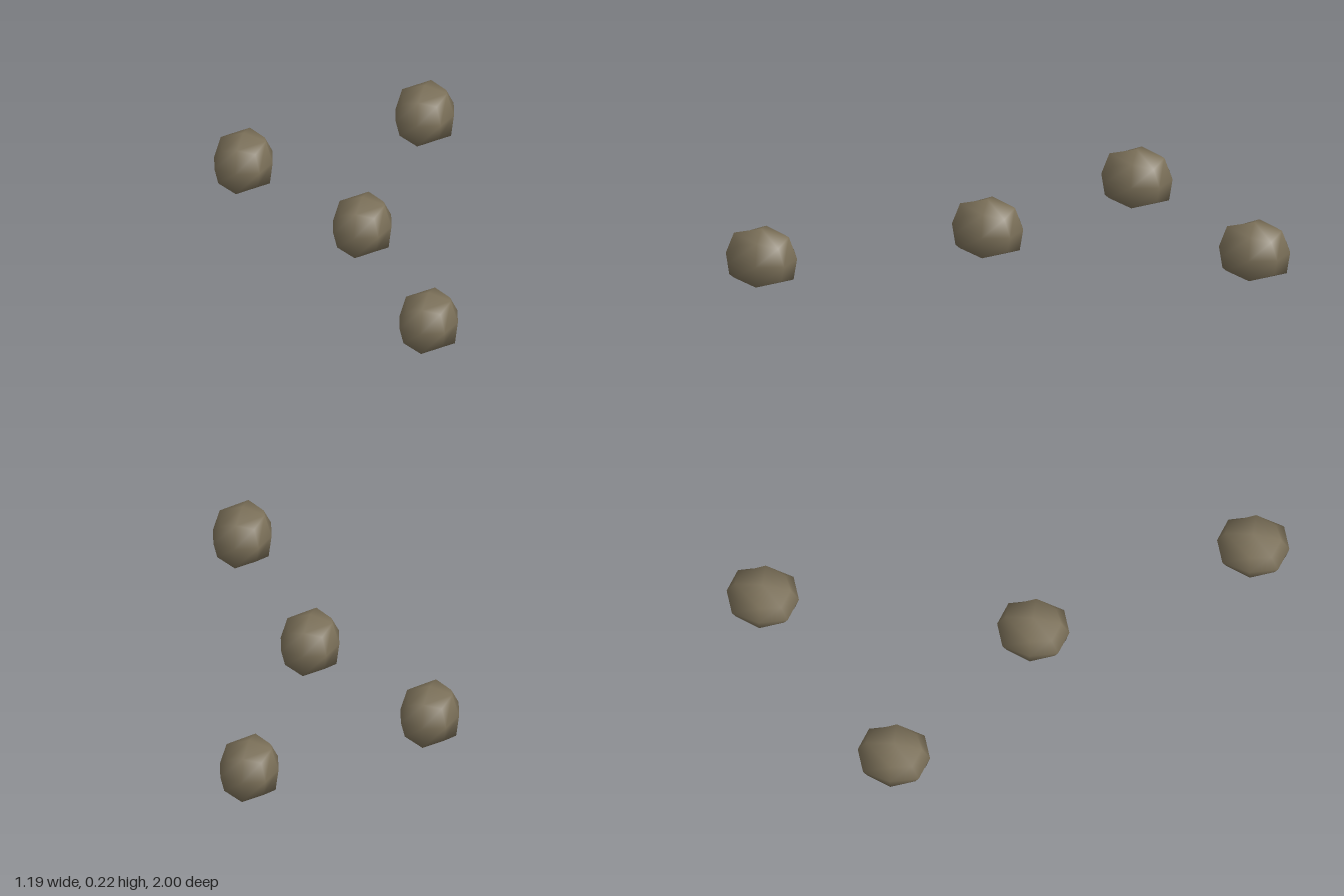
import * as THREE from 'three';
import { mergeVertices } from 'three/addons/utils/BufferGeometryUtils.js';

// A rounded pebble: a cube split once, its edges and corners pulled inwards,
// slightly wider near the base than near the top.
function pebbleGeometry() {
  const box = new THREE.BoxGeometry(2, 2, 2, 2, 2, 2);
  box.deleteAttribute('normal');
  box.deleteAttribute('uv');
  const geometry = mergeVertices(box);
  const pos = geometry.attributes.position;
  const pull = [0, 1, 0.77, 0.57]; // by kind: face centre, edge, corner
  for (let i = 0; i < pos.count; i++) {
    const p = new THREE.Vector3().fromBufferAttribute(pos, i).round();
    const kind = Math.abs(p.x) + Math.abs(p.y) + Math.abs(p.z);
    const spread = p.y < 0 ? 1.17 : 1;
    const s = pull[kind];
    pos.setXYZ(i, p.x * s * spread, p.y * s, p.z * s * spread);
  }
  geometry.scale(0.109, 0.108, 0.132);
  geometry.computeVertexNormals();
  return geometry;
}

export function createModel() {
  const group = new THREE.Group();
  group.name = 'pebbles';
  const geometry = pebbleGeometry();
  const material = new THREE.MeshStandardMaterial({ color: 0x7a6f58 });

  // Scattered pebbles, as [x, z]
  const spots = [[0.06, -0.868], [-0.485, -0.318], [0.06, 0.12], [0.483, 0.868]];
  spots.forEach(([x, z], i) => {
    const pebble = new THREE.Mesh(geometry, material);
    pebble.name = `pebble${i + 1}`;
    pebble.position.set(x, 0.111, z);
    group.add(pebble);
  });
  return group;
}
